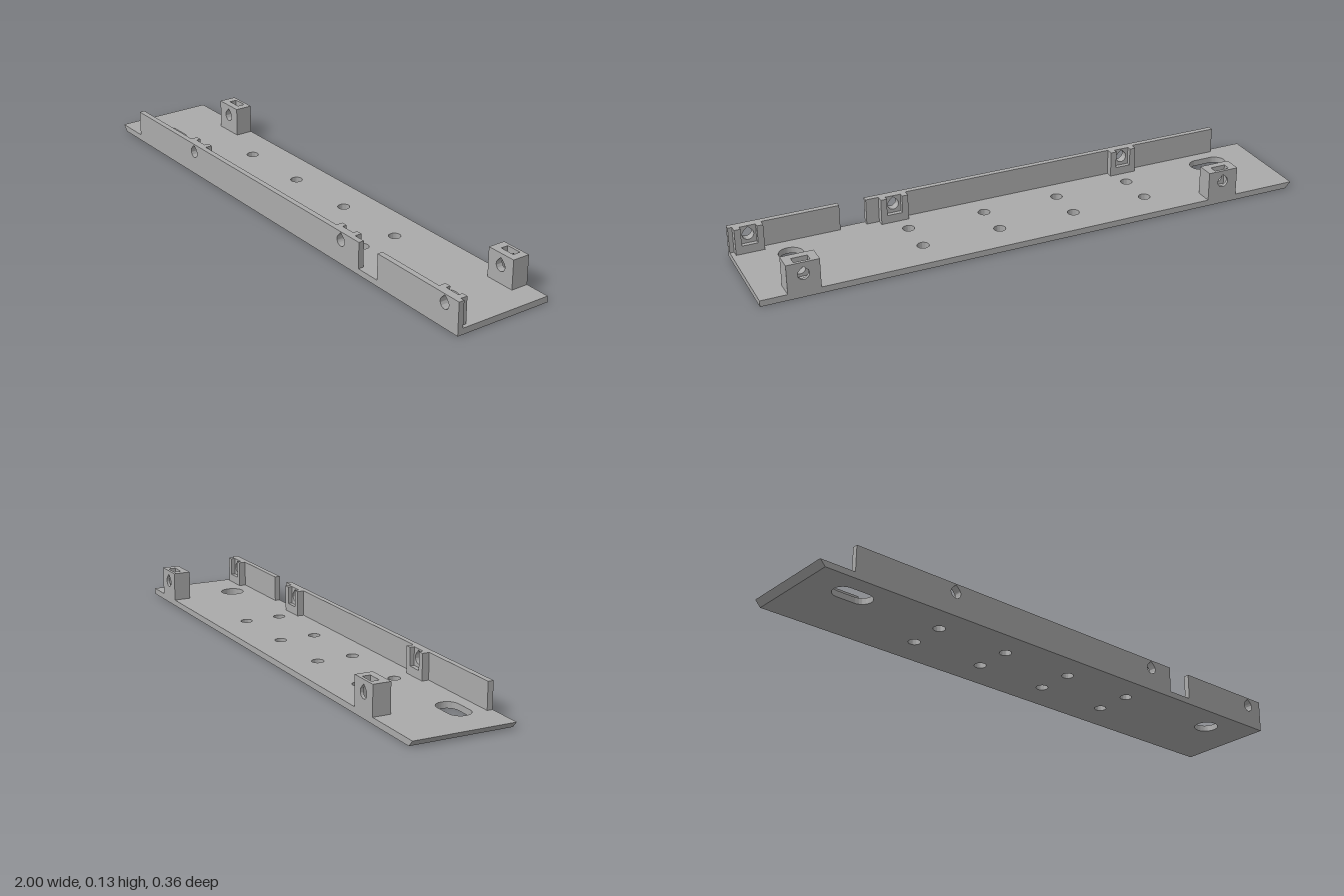
import * as THREE from 'three';
import { toCreasedNormals } from 'three/addons/utils/BufferGeometryUtils.js';

const BASE = 0.022, WALL_TOP = 0.116, BLOCK_TOP = 0.127, HOLE_Y = 0.084, HOLE_R = 0.02;

export function createModel() {
  const model = new THREE.Group();
  model.name = 'mountingRail';
  const grey = new THREE.MeshStandardMaterial({ color: 0xaaaaaa });
  grey.name = 'grey';

  const addMesh = (parent, name, geometry) => {
    const mesh = new THREE.Mesh(geometry, grey);
    mesh.name = name;
    parent.add(mesh);
  };

  const addBox = (parent, name, x0, x1, y0, y1, z0, z1) => {
    const g = new THREE.BoxGeometry(x1 - x0, y1 - y0, z1 - z0);
    g.translate((x0 + x1) / 2, (y0 + y1) / 2, (z0 + z1) / 2);
    addMesh(parent, name, g);
  };

  const rect = (x0, x1, y0, y1) => new THREE.Shape([
    new THREE.Vector2(x0, y0), new THREE.Vector2(x1, y0),
    new THREE.Vector2(x1, y1), new THREE.Vector2(x0, y1),
  ]);

  // Screw hole with a pointed roof
  const teardrop = (x) => {
    const p = new THREE.Path();
    p.absarc(x, HOLE_Y, HOLE_R, Math.PI * 0.75, Math.PI * 2.25, false);
    p.lineTo(x, HOLE_Y + HOLE_R * Math.SQRT2);
    p.closePath();
    return p;
  };

  const extrude = (shape, depth) => new THREE.ExtrudeGeometry(shape, { depth, bevelEnabled: false, curveSegments: 24 });

  // Upright slab from z0 to z1, pierced by teardrop holes
  const addSlab = (parent, name, x0, x1, y0, y1, z0, z1, holes) => {
    const shape = rect(x0, x1, y0, y1);
    shape.holes = holes.map(teardrop);
    addMesh(parent, name, toCreasedNormals(extrude(shape, z1 - z0).translate(0, 0, z0), 0.6));
  };

  // Base plate with screw holes, a cable slot and a large round hole
  const plate = rect(-1, 1, -0.182, 0.182);
  const addHole = (x, z, r) => plate.holes.push(new THREE.Path().absarc(x, -z, r, 0, Math.PI * 2, false));
  for (const x of [-0.458, -0.174, 0.11, 0.394]) {
    for (const z of [-0.061, 0.073]) addHole(x, z, 0.021);
  }
  addHole(0.815, 0.073, 0.043);
  const slot = new THREE.Path();
  slot.absarc(-0.775, -0.08, 0.039, -Math.PI / 2, Math.PI / 2, false);
  slot.absarc(-0.84, -0.08, 0.039, Math.PI / 2, Math.PI * 1.5, false);
  slot.closePath();
  plate.holes.push(slot);
  const plateGeometry = extrude(plate, BASE).rotateX(-Math.PI / 2);
  // Undercut the right end
  const pos = plateGeometry.attributes.position;
  for (let i = 0; i < pos.count; i++) {
    if (pos.getX(i) < -0.99 && pos.getY(i) < 0.001) pos.setX(i, -0.98);
  }
  plateGeometry.computeVertexNormals();
  addMesh(model, 'basePlate', toCreasedNormals(plateGeometry, 0.6));

  // Front wall in two lengths
  const bosses = [-0.477, 0.418, 0.935];
  addSlab(model, 'longFrontWall', -0.87, 0.514, BASE, WALL_TOP, 0.162, 0.182, bosses.slice(0, 2));
  addSlab(model, 'shortFrontWall', 0.61, 1, BASE, WALL_TOP, 0.162, 0.182, bosses.slice(2));

  // Nut holders behind the front wall, open at the top and rear
  for (const x of bosses) {
    const boss = new THREE.Group();
    boss.name = 'nutHolder';
    for (const s of [-1, 1]) {
      const a = x + s * 0.028, b = x + s * 0.05;
      addBox(boss, 'nutHolderPost', Math.min(a, b), Math.max(a, b), BASE, WALL_TOP, 0.137, 0.162);
    }
    addBox(boss, 'nutHolderFloor', x - 0.028, x + 0.028, BASE, 0.052, 0.137, 0.162);
    addSlab(boss, 'nutHolderBacking', x - 0.028, x + 0.028, 0.052, WALL_TOP, 0.153, 0.162, [x]);
    model.add(boss);
  }

  // Rear blocks with a nut pocket from above and a through hole
  for (const x of [-0.708, 0.85]) {
    const block = new THREE.Group();
    block.name = 'rearBlock';
    const x0 = x - 0.057, x1 = x + 0.057;
    addSlab(block, 'blockFront', x0, x1, BASE, BLOCK_TOP, -0.143, -0.118, [x]);
    addSlab(block, 'blockBack', x0, x1, BASE, BLOCK_TOP, -0.182, -0.171, [x]);
    addBox(block, 'pocketFloor', x - 0.028, x + 0.028, BASE, 0.054, -0.171, -0.143);
    addBox(block, 'pocketSide', x0, x - 0.028, BASE, BLOCK_TOP, -0.171, -0.143);
    addBox(block, 'pocketSide', x + 0.028, x1, BASE, BLOCK_TOP, -0.171, -0.143);
    model.add(block);
  }

  return model;
}
